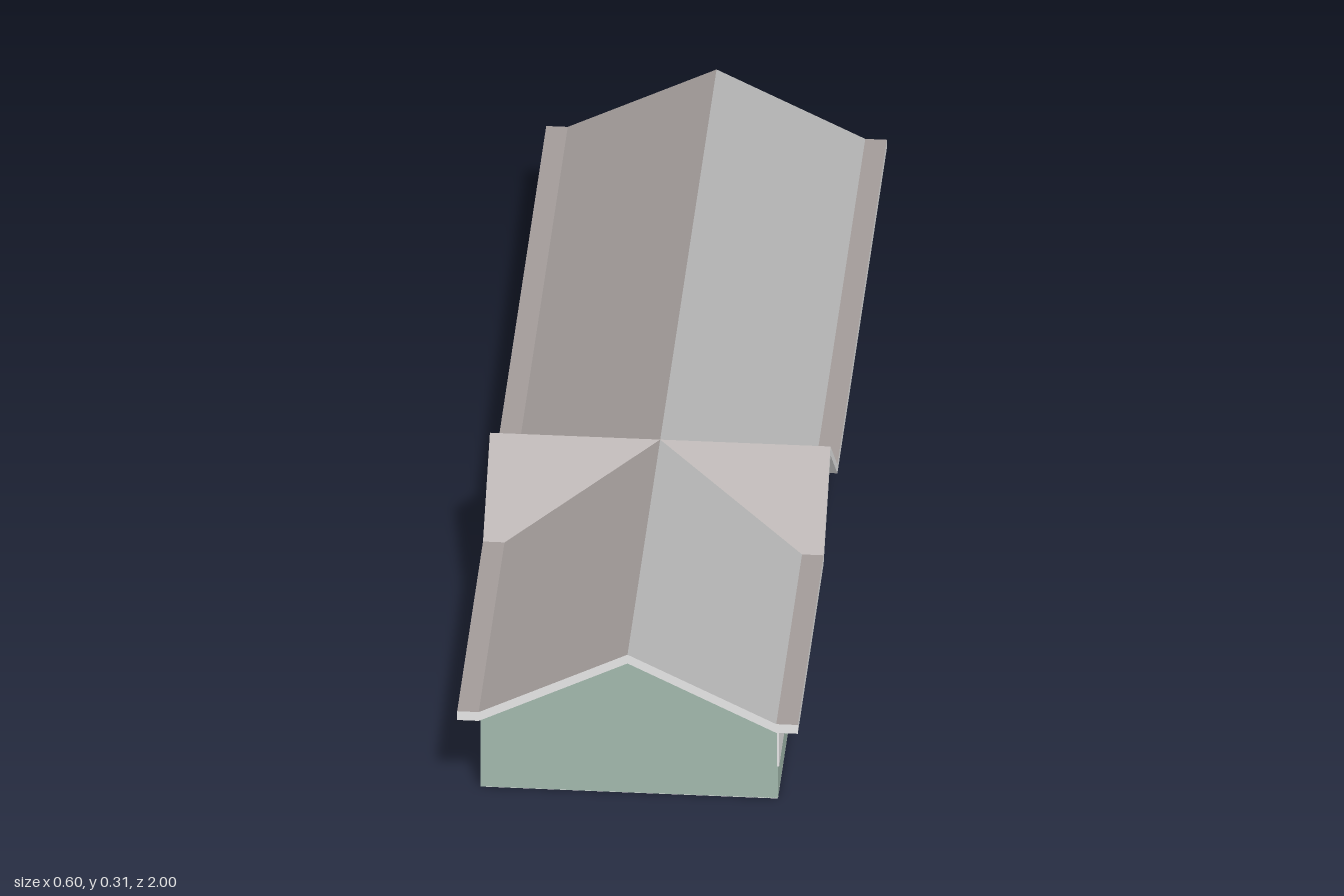
import * as THREE from 'three';

const mat = (name, color) => {
  const m = new THREE.MeshStandardMaterial({ color });
  m.name = name;
  return m;
};

export function createModel() {
  const green = mat('green siding', 0xa2b9ad);
  const white = mat('white trim', 0xf4f4f4);
  const brown = mat('brown grey shingles', 0xa29b99);
  const grey = mat('grey shingles', 0xb2b2b2);

  const HALF_W = 0.262, EAVE_X = 0.3, EAVE_Y = 0.158, RISE = 0.13, THICK = 0.018;
  const WALL_Z = 0.96, ROOF_Z = 1, CROSS_Z = 0.265, CROSS_HALF = 0.155;

  const model = new THREE.Group();
  model.name = 'longHouse';
  const add = (parent, name, geometry, material) => {
    const mesh = new THREE.Mesh(geometry, material);
    mesh.name = name;
    parent.add(mesh);
    return mesh;
  };
  const prism = (points, depth) => new THREE.ExtrudeGeometry(
    new THREE.Shape(points.map(([x, y]) => new THREE.Vector2(x, y))),
    { depth, bevelEnabled: false });

  // Sloped board: underside runs from (x0, y0) to (x1, y1), top face is shingled
  const slab = (parent, name, x0, y0, x1, y1, z0, z1, top) => {
    const g = new THREE.BoxGeometry(x1 - x0, THICK, z1 - z0);
    g.translate((x0 + x1) / 2, THICK / 2, (z0 + z1) / 2);
    const p = g.attributes.position;
    for (let i = 0; i < p.count; i++) {
      const t = (p.getX(i) - x0) / (x1 - x0);
      p.setY(i, p.getY(i) + y0 + (y1 - y0) * t);
    }
    g.computeVertexNormals();
    add(parent, name, g, [white, white, top, white, white, white]);
  };

  // Pair of slopes meeting at a ridge along z
  const gableRoof = (parent, name, half, length, leftTop, rightTop) => {
    const y1 = EAVE_Y + RISE;
    slab(parent, name + 'RightSlope', -half, EAVE_Y, 0, y1, -length, length, rightTop);
    slab(parent, name + 'LeftSlope', 0, y1, half, EAVE_Y, -length, length, leftTop);
  };

  // Walls with end gables
  add(model, 'walls', prism([[-HALF_W, 0], [HALF_W, 0], [HALF_W, EAVE_Y],
    [0, EAVE_Y + RISE], [-HALF_W, EAVE_Y]], 2 * WALL_Z), green).position.z = -WALL_Z;
  add(model, 'floor', new THREE.BoxGeometry(2 * HALF_W, 0.002, 2 * WALL_Z), white)
    .position.y = 0.0005;

  // Shapes drawn in (z, y) and extruded across x
  const sidePrism = (name, points, depth, xOuter, material) => {
    const mesh = add(model, name, prism(points, depth), material);
    mesh.rotation.y = -Math.PI / 2;
    mesh.position.x = xOuter;
  };
  sidePrism('crossGableWall', [[CROSS_Z - CROSS_HALF, EAVE_Y], [CROSS_Z + CROSS_HALF, EAVE_Y],
    [CROSS_Z, EAVE_Y + RISE]], 2 * HALF_W, HALF_W, green);

  // White wall panels on both long sides
  const rect = (z0, z1, y0) => [[z0, y0], [z1, y0], [z1, EAVE_Y], [z0, EAVE_Y]];
  const panels = [
    [1, rect(0.42, WALL_Z, 0.065)],
    [1, rect(0.185, 0.42, 0.001)],
    [1, rect(-WALL_Z, -0.38, 0.065)],
    [-1, rect(0.115, 0.27, 0.001)],
    [-1, [[-WALL_Z, EAVE_Y], [0.115, 0.065], [0.115, EAVE_Y]]],
  ];
  for (const [side, points] of panels)
    sidePrism('wallPanel', points, 0.004, side * HALF_W + 0.002, white);

  // Main roof, with level eaves interrupted by the cross gable
  gableRoof(model, 'mainRoof', HALF_W, ROOF_Z, grey, brown);
  const eaveRuns = [[-ROOF_Z, CROSS_Z - CROSS_HALF], [CROSS_Z + CROSS_HALF, ROOF_Z]];
  for (const [z0, z1] of eaveRuns) {
    slab(model, 'leftEave', HALF_W, EAVE_Y, EAVE_X, EAVE_Y, z0, z1, brown);
    slab(model, 'rightEave', -EAVE_X, EAVE_Y, -HALF_W, EAVE_Y, z0, z1, brown);
  }

  // Cross gable roof, ridge along x
  const cross = new THREE.Group();
  cross.name = 'crossGableRoof';
  cross.rotation.y = Math.PI / 2;
  cross.position.z = CROSS_Z;
  gableRoof(cross, 'crossRoof', CROSS_HALF, EAVE_X, brown, brown);
  model.add(cross);

  return model;
}
